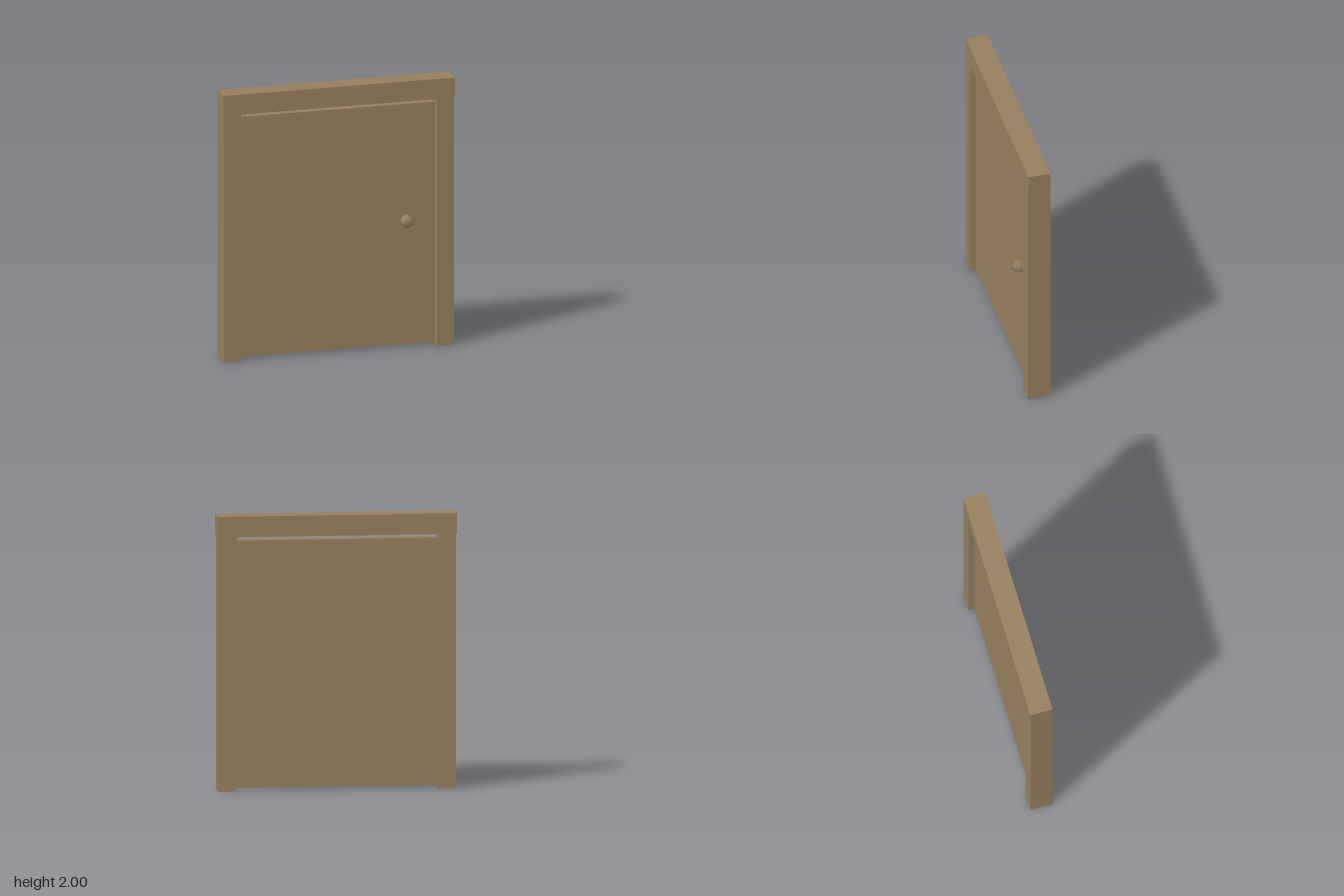
import * as THREE from 'three';
import { ConvexGeometry } from 'three/addons/geometries/ConvexGeometry.js';

export function createModel() {
  const model = new THREE.Group();
  model.name = 'door';
  const wood = new THREE.MeshStandardMaterial({ color: 0x967f5e });
  wood.name = 'wood';

  // Box given by its minimum and maximum on each axis
  const addBox = (name, [x0, x1], [y0, y1], [z0, z1]) => {
    const mesh = new THREE.Mesh(new THREE.BoxGeometry(x1 - x0, y1 - y0, z1 - z0), wood);
    mesh.position.set((x0 + x1) / 2, (y0 + y1) / 2, (z0 + z1) / 2);
    mesh.name = name;
    model.add(mesh);
  };

  // Frame: two jambs under a slightly wider lintel
  const frameDepth = [-0.094, 0.071];
  addBox('rightJamb', [-0.863, -0.734], [0, 1.85], frameDepth);
  addBox('leftJamb', [0.73, 0.859], [0, 1.85], frameDepth);
  addBox('lintel', [-0.867, 0.865], [1.85, 2], frameDepth);

  // Door panel, recessed on both sides with a small gap all round
  addBox('doorPanel', [-0.73, 0.726], [0.02, 1.82], [-0.052, 0.029]);

  // Knob: a twelve-point ball standing on its vertical axis
  const r = 0.055;
  const points = [new THREE.Vector3(0, r, 0), new THREE.Vector3(0, -r, 0)];
  for (let i = 0; i < 5; i++) {
    const a = (i * 2 * Math.PI) / 5;
    const p = new THREE.Vector3(Math.cos(a) * 0.894, 0.447, Math.sin(a) * 0.894).multiplyScalar(r);
    points.push(p, p.clone().negate());
  }
  const ball = new ConvexGeometry(points);
  // Smooth shading: normals point straight out from the centre
  ball.setAttribute('normal', ball.getAttribute('position').clone());
  ball.normalizeNormals();
  const knob = new THREE.Mesh(ball, wood);
  knob.name = 'knob';
  knob.position.set(0.513, 0.943, 0.047);
  model.add(knob);

  return model;
}
